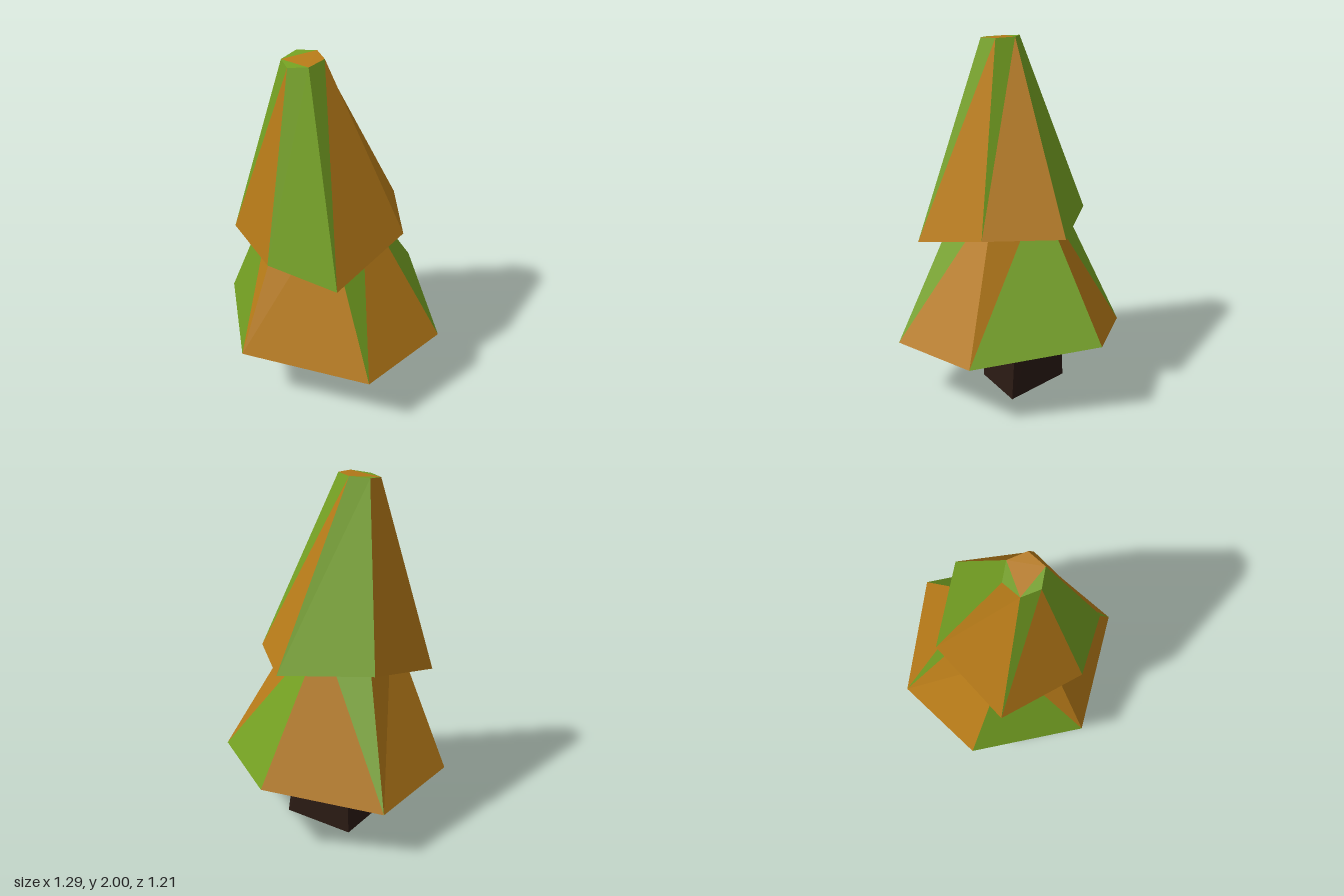
import * as THREE from 'three';

const GREEN = 0x74a022, BROWN = 0xb67a18, BARK = 0x2a1a13;

// Turns a list of triangles (each three [x, y, z] corners) into a faceted mesh
function facets(name, triangles, color) {
  const geometry = new THREE.BufferGeometry();
  geometry.setAttribute('position', new THREE.Float32BufferAttribute(triangles.flat(2), 3));
  geometry.computeVertexNormals();
  const material = new THREE.MeshStandardMaterial({ color, flatShading: true, side: THREE.DoubleSide });
  const mesh = new THREE.Mesh(geometry, material);
  mesh.name = name;
  return mesh;
}

// Splits the quad between corners i and i + 1 of two rings into two triangles;
// "flip" chooses the other diagonal
function sideTriangles(low, high, i, flip) {
  const j = (i + 1) % low.length;
  return flip
    ? [[low[j], low[i], high[j]], [low[i], high[i], high[j]]]
    : [[low[j], low[i], high[i]], [low[j], high[i], high[j]]];
}

// A six-sided skirt, open below. Each side is [first colour, second colour, flip]
function foliageTier(name, low, high, sides) {
  const faces = { G: [], B: [] };
  sides.forEach(([first, second, flip], i) => {
    const [t1, t2] = sideTriangles(low, high, i, flip);
    faces[first].push(t1);
    faces[second].push(t2);
  });
  // Cap: brown quad in the middle, a green triangle at either end
  const cap = (a, b, c) => [high[c], high[b], high[a]];
  faces.B.push(cap(1, 2, 3), cap(1, 3, 5));
  faces.G.push(cap(5, 0, 1), cap(3, 4, 5));

  const tier = new THREE.Group();
  tier.name = name;
  tier.add(facets(name + 'Green', faces.G, GREEN), facets(name + 'Brown', faces.B, BROWN));
  return tier;
}

export function createModel() {
  const tree = new THREE.Group();
  tree.name = 'tree';

  // Trunk: crooked four-sided post, tapering up into the foliage
  const foot = [[-0.16, 0, -0.235], [0.245, 0, -0.085], [0.03, 0, 0.19], [-0.27, 0, 0.12]];
  const head = [[-0.13, 0.8, -0.22], [0.145, 0.8, -0.085], [0.03, 0.8, 0.14], [-0.2, 0.8, 0.09]];
  const trunk = foot.flatMap((_, i) => sideTriangles(foot, head, i, false));
  trunk.push([foot[0], foot[1], foot[2]], [foot[0], foot[2], foot[3]]);
  trunk.push([head[2], head[1], head[0]], [head[3], head[2], head[0]]);
  tree.add(facets('trunk', trunk, BARK));

  // Lower foliage: ring corners run from back right-hand side round to the front
  tree.add(foliageTier('lowerFoliage',
    [[-0.42, 0.295, -0.48], [0.23, 0.42, -0.605], [0.645, 0.355, -0.01],
      [0.445, 0.33, 0.52], [-0.29, 0.35, 0.6], [-0.65, 0.35, 0.04]],
    [[-0.23, 1.17, -0.12], [0.02, 1.17, -0.15], [0.185, 1.17, 0.045],
      [0.08, 1.17, 0.27], [-0.16, 1.17, 0.285], [-0.305, 1.17, 0.12]],
    [['B', 'G', true], ['G', 'B', false], ['B', 'G', false],
      ['B', 'B', false], ['G', 'B', true], ['B', 'B', false]]));

  // Upper foliage: leans to a small blunt tip
  tree.add(foliageTier('upperFoliage',
    [[-0.315, 1.01, -0.29], [0.205, 0.995, -0.38], [0.42, 1.0, 0.015],
      [0.24, 0.865, 0.49], [-0.155, 0.94, 0.515], [-0.535, 0.89, 0.18]],
    [[-0.19, 1.99, 0.055], [-0.08, 2.0, 0.035], [0.0, 2.0, 0.115],
      [-0.04, 1.99, 0.22], [-0.15, 1.975, 0.24], [-0.225, 1.975, 0.16]],
    [['G', 'G', false], ['B', 'G', false], ['B', 'G', false],
      ['G', 'G', false], ['B', 'G', false], ['B', 'B', false]]));

  return tree;
}
